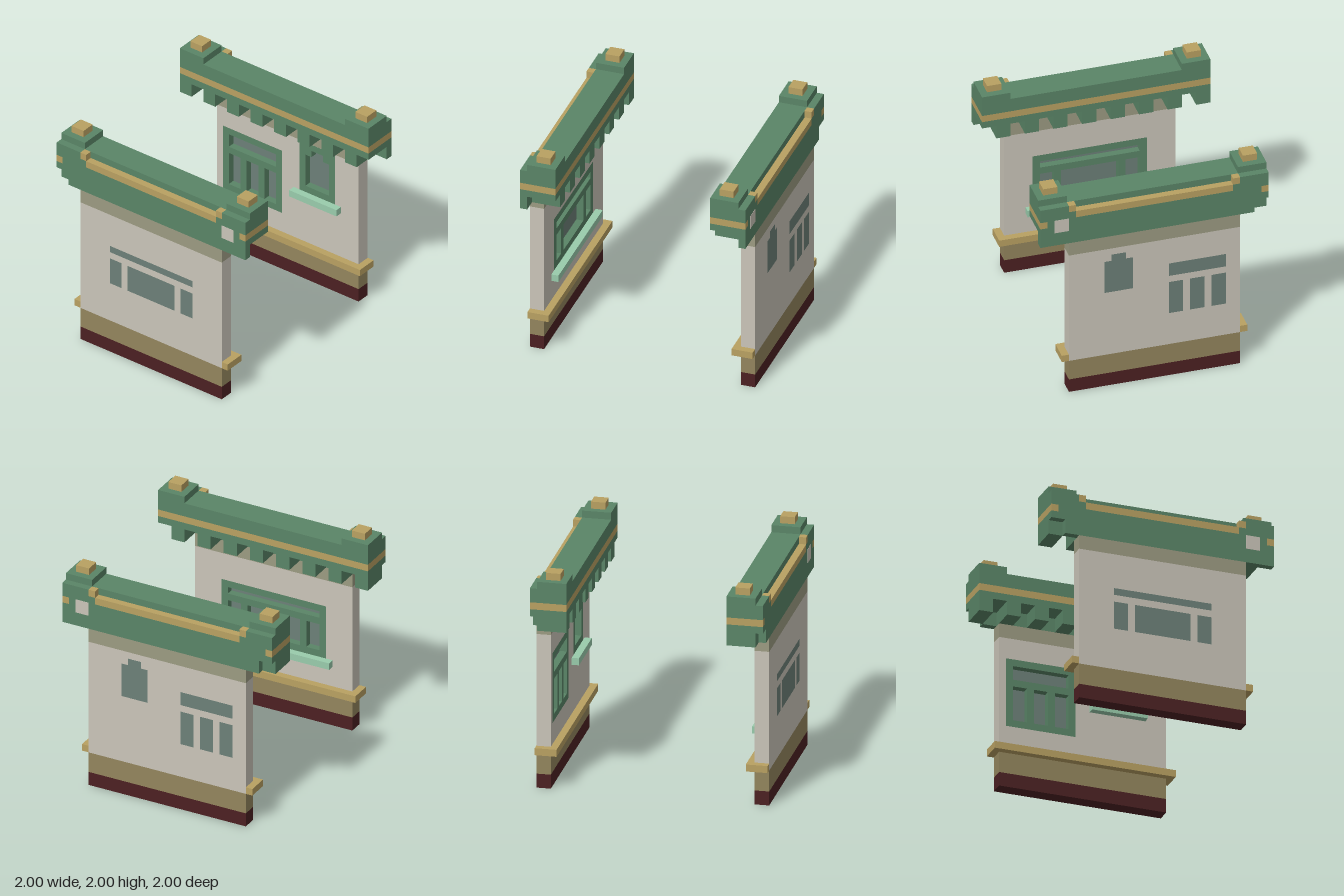
import * as THREE from 'three';

const U = 1 / 16; // all sizes below are in sixteenths of a unit

function material(name, color) {
  const m = new THREE.MeshStandardMaterial({ color });
  m.name = name;
  return m;
}

export function createModel() {
  const green = material('green trim', 0x5a8567);
  const gold = material('gold trim', 0xb9a162);
  const plaster = material('pale plaster', 0xcac5b9);
  const olive = material('olive band', 0x9c9b82);
  const brown = material('brown dado', 0x93855d);
  const maroon = material('dark red plinth', 0x4c2022);
  const glass = material('grey glass', 0x6c8078);
  const mint = material('mint sill', 0x99ccac);

  const rect = (x0, x1, y0, y1) => [[x0, y0], [x1, y0], [x1, y1], [x0, y1]];
  const scaled = (points) => points.map(([x, y]) => new THREE.Vector2(x * U, y * U));

  // One facade; s = 1 stands at +z, s = -1 at -z, decorated sides face each other
  function facade(name, s, windows) {
    const group = new THREE.Group();
    group.name = name;

    function add(partName, mat, geometry) {
      const mesh = new THREE.Mesh(geometry, mat);
      mesh.name = partName;
      group.add(mesh);
    }
    function box(partName, mat, x0, x1, y0, y1, z0, z1) {
      const g = new THREE.BoxGeometry((x1 - x0) * U, (y1 - y0) * U, (z1 - z0) * U);
      g.translate((x0 + x1) * U / 2, (y0 + y1) * U / 2, s * (z0 + z1) * U / 2);
      add(partName, mat, g);
    }
    function panel(partName, mat, outline, holes, z0, z1) {
      const shape = new THREE.Shape(scaled(outline));
      for (const h of holes) shape.holes.push(new THREE.Path(scaled(h)));
      const g = new THREE.ExtrudeGeometry(shape, { depth: (z1 - z0) * U, bevelEnabled: false });
      g.translate(0, 0, (s > 0 ? z0 : -z1) * U);
      add(partName, mat, g);
    }

    // Wall bands
    box('plinth', maroon, -12, 12, 0, 2, 14, 16);
    box('dado', brown, -12, 12, 2, 5, 14, 16);
    box('upperBand', olive, -12, 12, 22, 24, 14, 16);

    // Plaster in two layers: frames sit in the inner one, glass in the outer one
    const wall = rect(-12, 12, 5, 22);
    panel('innerPlaster', plaster, wall, windows.map((w) => w.frame), 14, 15);
    panel('outerPlaster', plaster, wall, windows.flatMap((w) => w.panes), 15, 16);
    for (const w of windows) {
      panel('windowFrame', green, w.frame, w.panes, 14, 15);
      for (const p of w.panes) panel('windowPane', glass, p, [], 15, 16);
      if (w.sill) box('windowSill', mint, ...w.sill, 13, 14);
    }

    // Ledge wrapping the inner face and both ends
    box('ledge', gold, -13, 13, 5, 6, 13, 14);
    for (const x of [-13, 12]) box('ledgeReturn', gold, x, x + 1, 5, 6, 14, 16);

    // Cornice underside with a row of brackets
    box('corniceApron', green, -14, 16, 24, 26, 15, 16);
    box('corniceBacking', green, -12, 12, 24, 26, 14, 15);
    for (let x = -16; x <= 12; x += 4) box('bracket', green, x, x + 2, 24, 26, 11, 15);

    // Cornice body with its gold stripe
    box('corniceBase', green, -16, 16, 26, 27, 11, 16);
    box('corniceStripe', gold, -16, 16, 27, 28, 11, 15);
    box('corniceOuterFace', green, -15, 15, 27, 28, 15, 16);
    box('corniceTop', green, -16, 16, 28, 30, 11, 15);
    box('topRail', gold, -11, 11, 28, 29, 15, 16);

    // Ends of the cornice
    for (const side of [-1, 1]) {
      const pair = (a, b) => (side > 0 ? [a, b] : [-b, -a]);
      box('stripeEnd', gold, ...pair(15, 16), 27, 28, 15, 16);
      box('railBlockBase', green, ...pair(11, 12), 28, 29, 15, 16);
      box('railBlock', gold, ...pair(11, 12), 29, 30, 15, 16);
      box('endBlock', green, ...pair(12, 16), 28, 30, 15, 16);
      box('endCap', green, ...pair(12, 16), 30, 31, 11, 15);
      box('finial', gold, ...pair(13, 15), 31, 32, 12, 14);
    }
    box('palePatch', plaster, 12, 14, 26, 28, 15.98, 16.03);
    return group;
  }

  // Wide three-part window with a transom
  const wideWindow = {
    frame: rect(-8, 8, 10, 18),
    panes: [rect(-7, 7, 16, 17), rect(-7, -5, 11, 15), rect(-4, 4, 11, 15), rect(5, 7, 11, 15)],
    sill: [-9, 9, 9, 10],
  };
  // Triple window with a transom
  const tripleWindow = {
    frame: rect(-11, -1, 9, 19),
    panes: [rect(-10, -2, 16, 18), ...[-10, -7, -4].map((x) => rect(x, x + 2, 10, 15))],
  };
  // Small window with a stepped head
  const steppedWindow = {
    frame: rect(2, 8, 14, 21.99),
    panes: [[[3, 15], [7, 15], [7, 20], [6, 20], [6, 21], [4, 21], [4, 20], [3, 20]]],
    sill: [1, 9, 13, 14],
  };

  const model = new THREE.Group();
  model.name = 'facingFacades';
  model.add(facade('frontFacade', 1, [wideWindow]));
  model.add(facade('backFacade', -1, [tripleWindow, steppedWindow]));
  return model;
}
